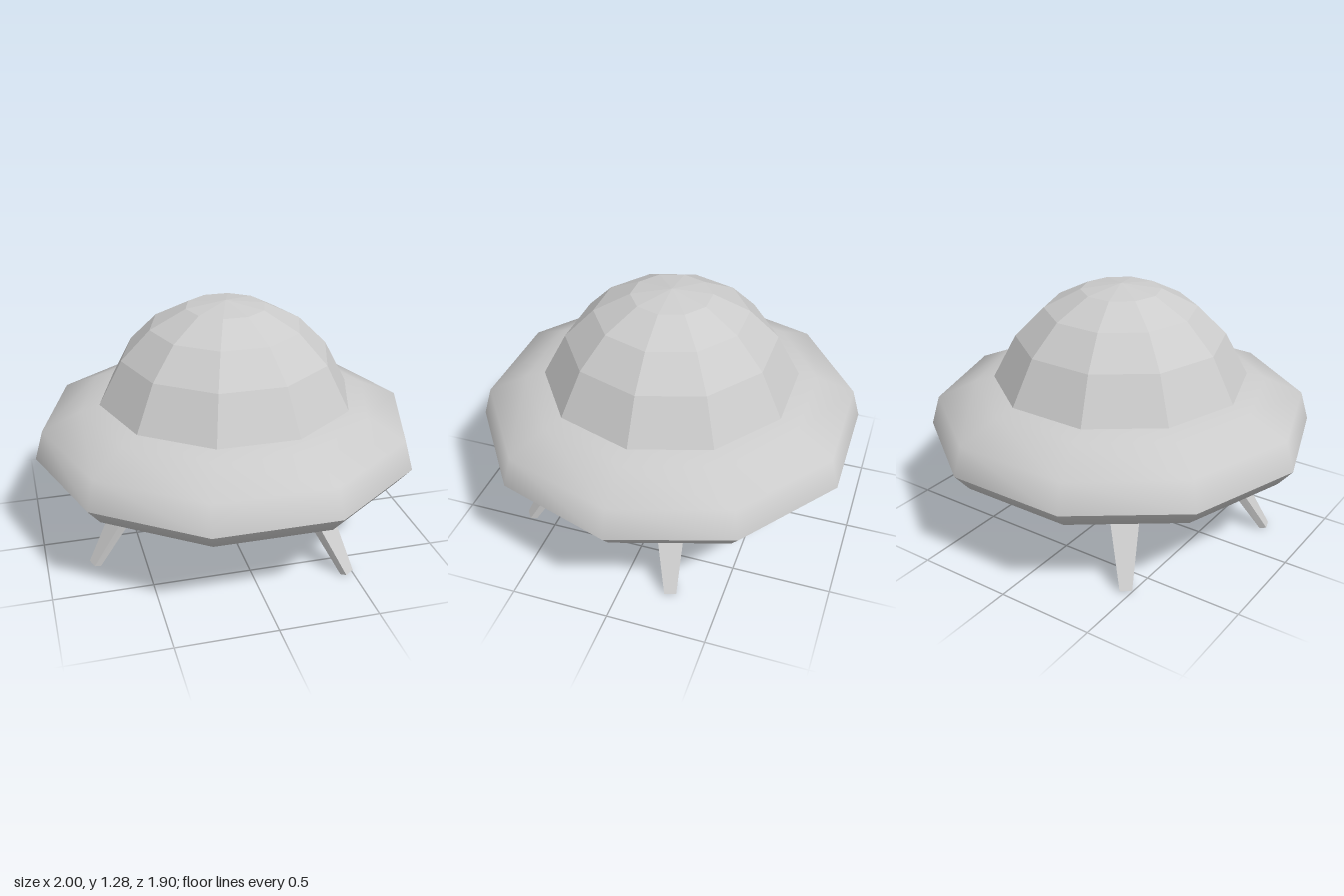
import * as THREE from 'three';

const SIDES = 10;

// Ten-sided turned shell, profile listed from bottom to top
function shell(name, profile, flatShading) {
  const points = profile.map(([r, y]) => new THREE.Vector2(r, y));
  const geometry = new THREE.LatheGeometry(points, SIDES, Math.PI / 2);
  const material = new THREE.MeshStandardMaterial({ color: 0xcccccc, flatShading, side: THREE.DoubleSide });
  const mesh = new THREE.Mesh(geometry, material);
  mesh.name = name;
  return mesh;
}

// Leg pointing along +x: four-cornered sections joined from foot to top flare
function legGeometry() {
  // inner radius, inner y, outer radius, outer y, half width
  const sections = [
    [0.78, 0, 0.815, 0.01, 0.03],
    [0.58, 0.28, 0.64, 0.285, 0.07],
    [0.58, 0.337, 0.64, 0.345, 0.165],
  ];
  const positions = [];
  const index = [];
  for (const [ri, yi, ro, yo, w] of sections) {
    positions.push(ri, yi, w, ro, yo, w, ro, yo, -w, ri, yi, -w);
  }
  for (let s = 0; s < sections.length - 1; s++) {
    for (let k = 0; k < 4; k++) {
      const a = s * 4 + k;
      const b = s * 4 + ((k + 1) % 4);
      index.push(a, b, b + 4, a, b + 4, a + 4);
    }
  }
  const t = (sections.length - 1) * 4;
  index.push(0, 2, 1, 0, 3, 2, t, t + 1, t + 2, t, t + 2, t + 3);
  const geometry = new THREE.BufferGeometry();
  geometry.setAttribute('position', new THREE.Float32BufferAttribute(positions, 3));
  geometry.setIndex(index);
  const flat = geometry.toNonIndexed();
  flat.computeVertexNormals();
  return flat;
}

export function createModel() {
  const model = new THREE.Group();
  model.name = 'flyingSaucer';

  // Faceted cabin dome
  model.add(shell('dome', [[0.66, 0.785], [0.54, 1.01], [0.39, 1.16], [0.205, 1.255], [0, 1.285]], true));

  // Smooth hull, split at the sharp rim
  model.add(shell('upperHull', [[1, 0.52], [0.957, 0.67], [0.757, 0.76], [0.66, 0.785]], false));
  model.add(shell('lowerHull', [[0.535, 0.31], [0.64, 0.337], [0.925, 0.43], [1, 0.52]], false));

  // Faceted belly
  model.add(shell('belly', [[0, 0.06], [0.41, 0.15], [0.535, 0.31]], true));

  // Four splayed legs, each under the middle of a hull side
  const geometry = legGeometry();
  const material = new THREE.MeshStandardMaterial({ color: 0xcccccc, flatShading: true });
  for (const degrees of [54, 162, 234, 342]) {
    const leg = new THREE.Mesh(geometry, material);
    leg.name = 'leg';
    leg.rotation.y = -THREE.MathUtils.degToRad(degrees);
    model.add(leg);
  }
  return model;
}
